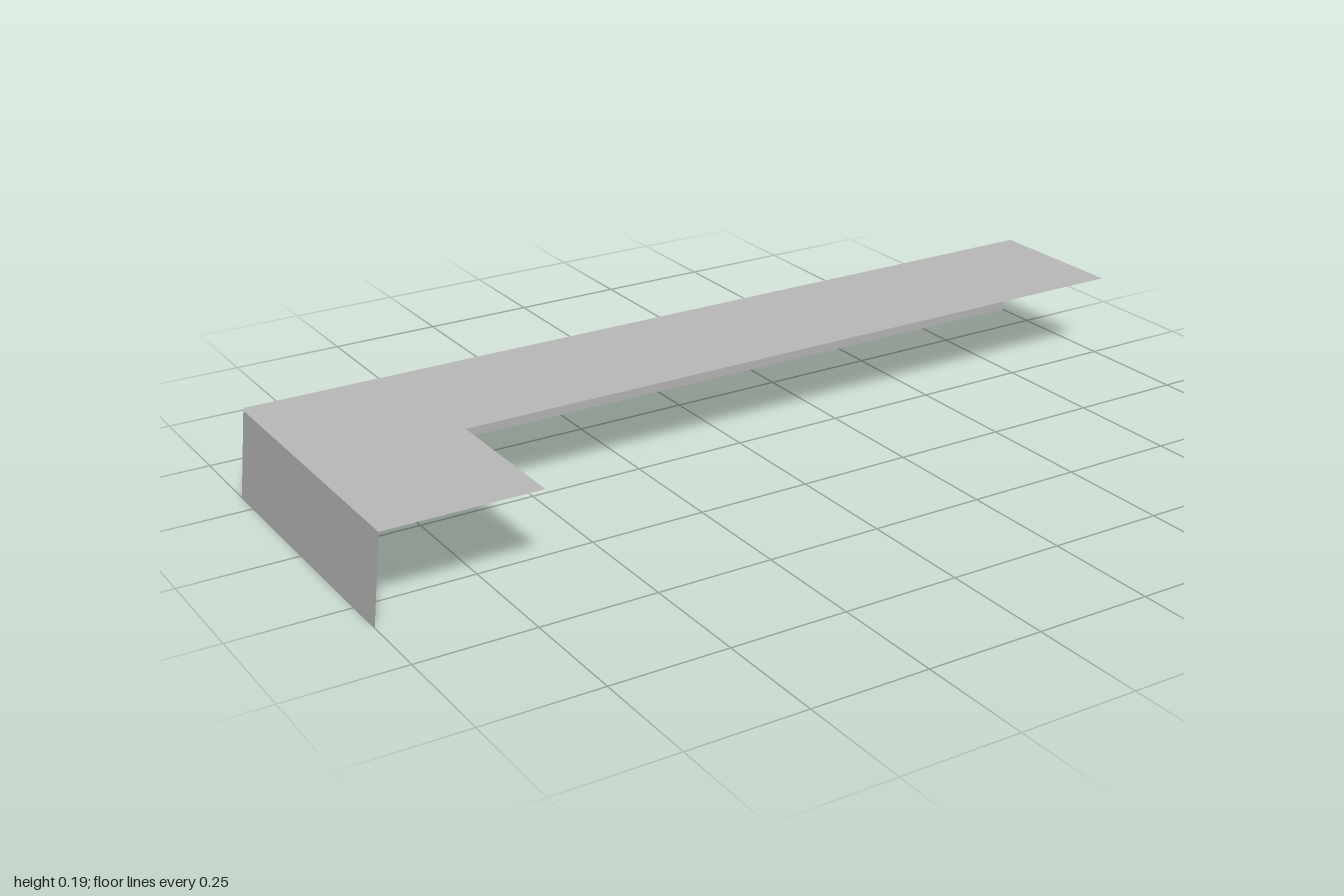
import * as THREE from 'three';

const H = 0.187; // height of the top sheet

export function createModel() {
  const group = new THREE.Group();
  group.name = 'cornerFlashing';

  const greySheet = new THREE.MeshStandardMaterial({ color: 0xb8b8b8, side: THREE.DoubleSide });
  greySheet.name = 'grey sheet';

  const add = (name, geometry) => {
    const mesh = new THREE.Mesh(geometry, greySheet);
    mesh.name = name;
    group.add(mesh);
  };

  // Flat quad from four corners, counter-clockwise seen from outside
  const quad = (...corners) => {
    const geometry = new THREE.BufferGeometry();
    geometry.setAttribute('position', new THREE.Float32BufferAttribute(corners.flat(), 3));
    geometry.setIndex([0, 1, 2, 0, 2, 3]);
    geometry.computeVertexNormals();
    return geometry;
  };

  // L-shaped top sheet with a tiny clipped outer corner (points are x, -z)
  const outline = [
    [-0.98, -0.343], [-0.646, -0.343], [-0.646, -0.01], [1, -0.01],
    [1, 0.327], [-0.973, 0.327], [-0.98, 0.314],
  ].map(([x, y]) => new THREE.Vector2(x, y));
  const top = new THREE.ShapeGeometry(new THREE.Shape(outline));
  top.rotateX(-Math.PI / 2).translate(0, H, 0);
  add('topSheet', top);

  // Folded-down flanges, flaring slightly outwards at the bottom
  add('backFlange', quad([1, 0, -0.343], [-0.973, 0, -0.343], [-0.973, H, -0.327], [1, H, -0.327]));
  add('rightFlange', quad([-1, 0, -0.314], [-1, 0, 0.343], [-0.98, H, 0.343], [-0.98, H, -0.314]));

  return group;
}
